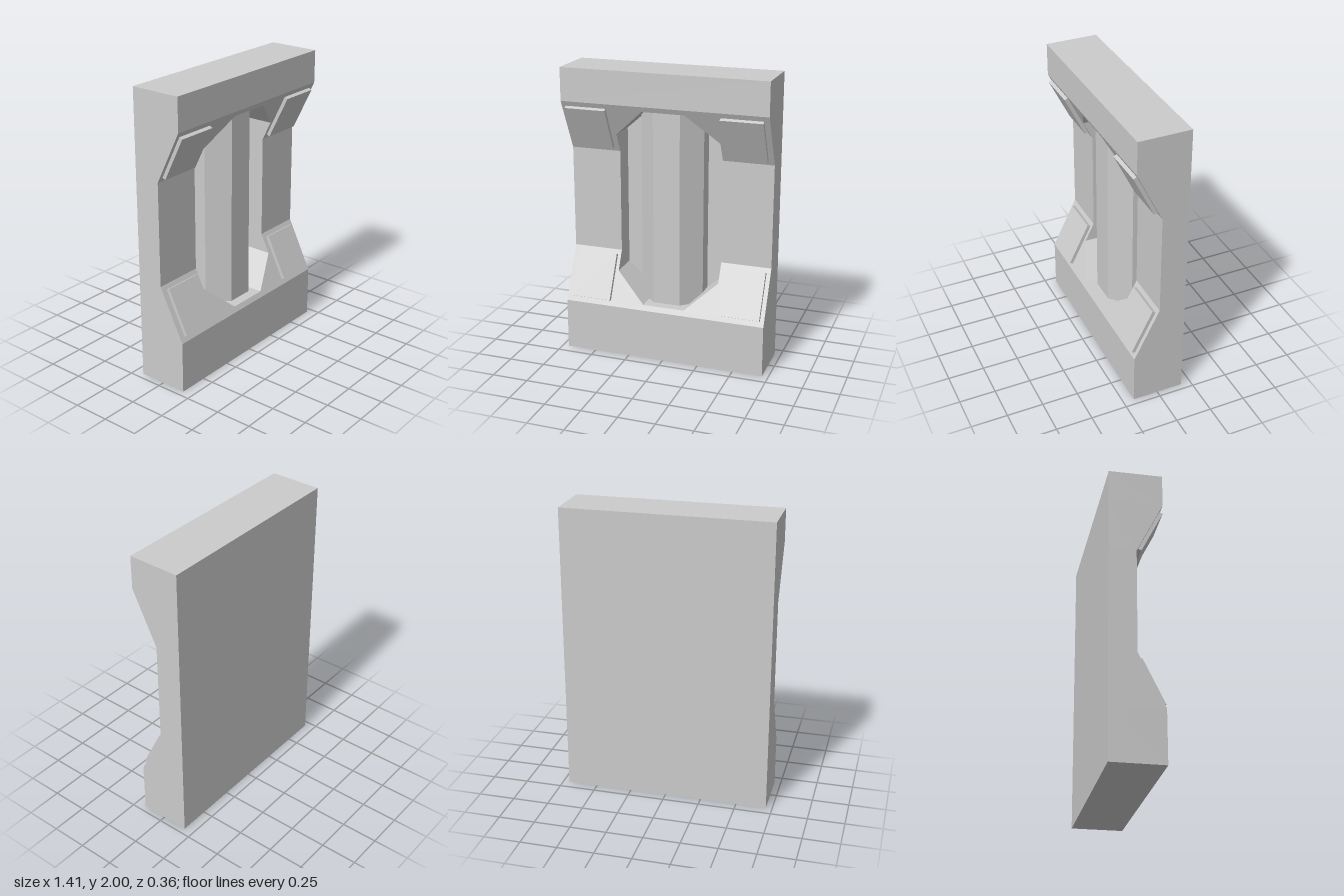
import * as THREE from 'three';
import { mergeGeometries } from 'three/addons/utils/BufferGeometryUtils.js';

const W = 0.707, BACK = -0.181, FRONT = 0.175, FLOOR = -0.14;
const Y = [0, 0.355, 0.71, 1.42, 1.775, 2]; // heights where the front face bends
const MID = (Y[2] + Y[3]) / 2;
const TILT = Math.atan2(FRONT, Y[2] - Y[1]);

// Depth of the front face at a height: thick ends, sloping to a thinner waist
function frontZ(y) {
  const d = Math.abs(y - MID), inner = Y[3] - MID, outer = Y[4] - MID;
  return FRONT * THREE.MathUtils.clamp((d - inner) / (outer - inner), 0, 1);
}

const flip = (pts) => pts.map(([x, y]) => [-x, y]).reverse();

// Flat panel from an outline, each vertex set to a depth given by its height
function panel(pts, zAt, backwards = false) {
  const g = new THREE.ShapeGeometry(new THREE.Shape(pts.map((p) => new THREE.Vector2(...p))));
  const p = g.attributes.position;
  for (let i = 0; i < p.count; i++) p.setZ(i, zAt(p.getY(i)));
  if (backwards) g.index.array.reverse();
  return clean(g.toNonIndexed());
}

// Walls joining an outline at depth z to the front face; a clockwise outline faces inwards
function walls(pts, z) {
  const v = [];
  pts.forEach(([ax, ay], i) => {
    const [bx, by] = pts[(i + 1) % pts.length];
    const a = [ax, ay, z], b = [bx, by, z];
    const c = [bx, by, frontZ(by)], d = [ax, ay, frontZ(ay)];
    v.push(...a, ...b, ...c, ...a, ...c, ...d);
  });
  const g = new THREE.BufferGeometry();
  g.setAttribute('position', new THREE.Float32BufferAttribute(v, 3));
  return clean(g);
}

function clean(g) {
  g.deleteAttribute('uv');
  g.computeVertexNormals();
  return g;
}

function bodyGeometry() {
  // Counter-clockwise outlines of the slab and of the eight-sided recess
  const rightEdge = Y.map((y) => [W, y]);
  const outer = [...rightEdge, ...flip(rightEdge)];
  const recessRight = [[0.145, 0.39], [0.36, 0.58], [0.36, Y[2]], [0.36, Y[3]], [0.36, 1.55], [0.145, 1.74]];
  const recess = [...recessRight, ...flip(recessRight)];

  const rect = (x0, x1, y0, y1) => [[x0, y0], [x1, y0], [x1, y1], [x0, y1]];
  const notchRight = [[W, Y[1]], [W, Y[2]], [0.36, Y[2]], [0.36, 0.58], [0.145, 0.39]];
  const lowerSlope = [...notchRight, ...flip(notchRight)];
  const upperSlope = lowerSlope.map(([x, y]) => [x, 2 * MID - y]).reverse();
  const faces = [
    rect(-W, W, Y[0], Y[1]), lowerSlope,
    rect(-W, -0.36, Y[2], Y[3]), rect(0.36, W, Y[2], Y[3]),
    upperSlope, rect(-W, W, Y[4], Y[5]),
  ];
  return mergeGeometries([
    ...faces.map((f) => panel(f, frontZ)),
    panel(recess, () => FLOOR),
    panel(rect(-W, W, 0, 2), () => BACK, true),
    walls(outer, BACK),
    walls([...recess].reverse(), FLOOR),
  ]);
}

export function createModel() {
  const group = new THREE.Group();
  const material = new THREE.MeshStandardMaterial({ color: 0xcccccc, flatShading: true });
  const add = (name, geometry) => {
    const mesh = new THREE.Mesh(geometry, material);
    mesh.name = name;
    group.add(mesh);
    return mesh;
  };

  // Slab with sloped waist and recess
  add('body', bodyGeometry());

  // Faceted bar standing in the recess, its foot sunk in the recess floor
  const section = [[-0.22, 0.15], [0.22, 0.15], [0.22, 0.035], [0.093, -0.09], [-0.093, -0.09], [-0.22, 0.035]];
  const barShape = new THREE.Shape(section.map((p) => new THREE.Vector2(...p)));
  const bar = new THREE.ExtrudeGeometry(barShape, { depth: 1.35, bevelEnabled: false });
  add('centralBar', bar.rotateX(-Math.PI / 2)).position.y = 0.39;

  // Four thin pads lying on the slopes
  const padGeometry = new THREE.BoxGeometry(0.283, 0.324, 0.04);
  for (const [name, x, up] of [
    ['lowerRightPad', -0.525, -1], ['lowerLeftPad', 0.537, -1],
    ['upperRightPad', -0.537, 1], ['upperLeftPad', 0.528, 1],
  ]) {
    const pad = add(name, padGeometry);
    pad.position.set(x, MID + up * 0.529, 0.091);
    pad.rotation.x = up * TILT;
  }
  return group;
}
